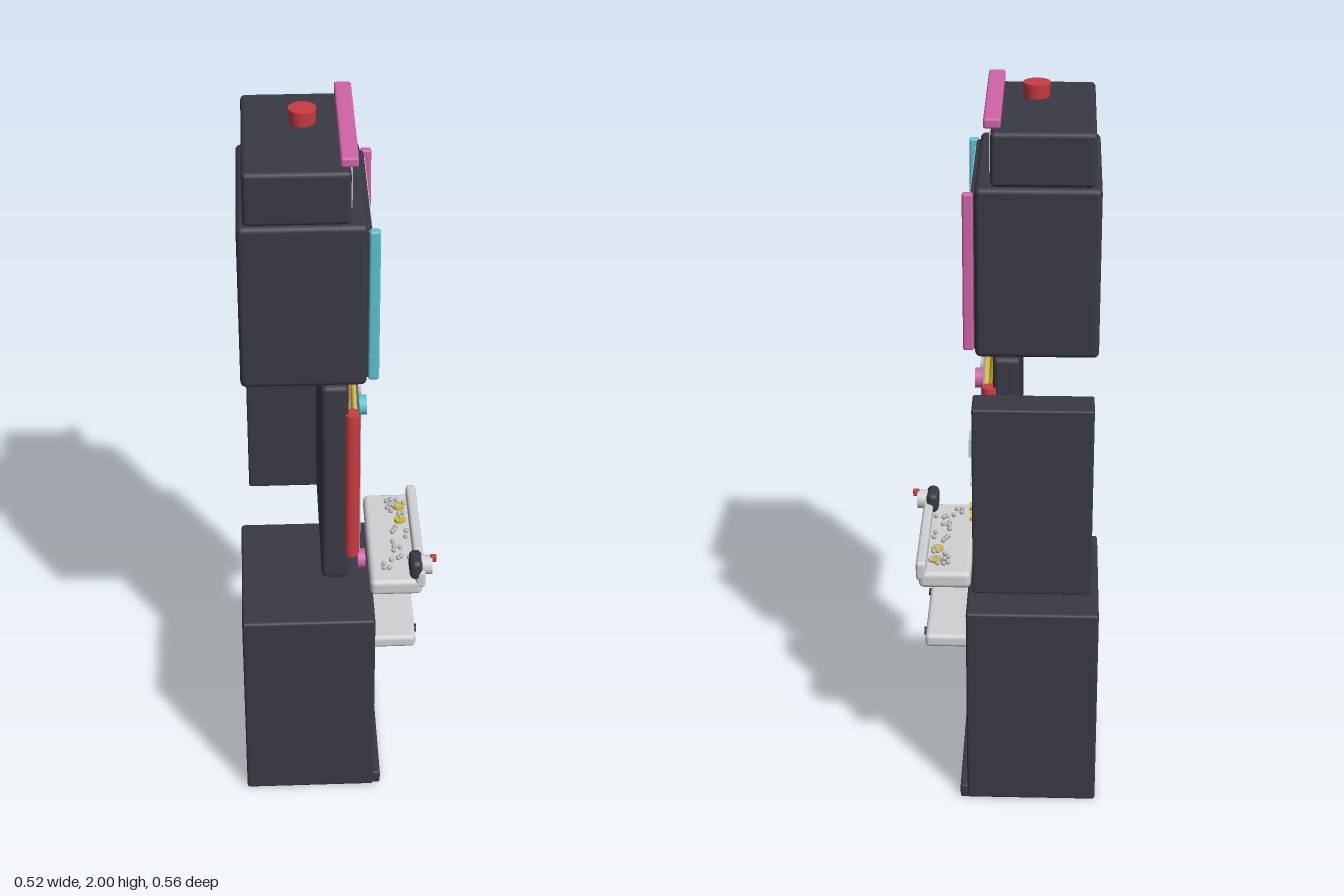
import * as THREE from 'three';
import { RoundedBoxGeometry } from 'three/addons/geometries/RoundedBoxGeometry.js';

const material = (name, color) => Object.assign(new THREE.MeshStandardMaterial({ color }), { name });

export function createModel() {
  const root = new THREE.Group();
  root.name = 'arcadeMachine';

  const dark = material('charcoal', 0x3a3a45);
  const black = material('black', 0x24242a);
  const glass = material('glassGrey', 0xc3c7ca);
  const silver = material('silver', 0xd0d1d3);
  const steel = material('ballSteel', 0xb4b5ba);
  const red = material('red', 0xc93c42);
  const cyan = material('cyan', 0x5cc2cf);
  const pink = material('pink', 0xd064a6);
  const yellow = material('yellow', 0xd2b93c);

  const midZ = 0.043; // centre line of the main cabinet

  function add(name, geometry, mat, x, y, z, parent = root) {
    const mesh = new THREE.Mesh(geometry, mat);
    mesh.name = name;
    mesh.position.set(x, y, z);
    parent.add(mesh);
    return mesh;
  }
  // box given by its limits on each axis; r rounds the edges
  function box(name, mat, [x0, x1], [y0, y1], [z0, z1], r = 0) {
    const s = [x1 - x0, y1 - y0, z1 - z0];
    const g = r ? new RoundedBoxGeometry(...s, 3, r) : new THREE.BoxGeometry(...s);
    return add(name, g, mat, (x0 + x1) / 2, (y0 + y1) / 2, (z0 + z1) / 2);
  }
  // cylinder lying along x
  function knob(name, mat, r, [x0, x1], y, z, parent = root) {
    const g = new THREE.CylinderGeometry(r, r, x1 - x0, 24).rotateZ(-Math.PI / 2);
    return add(name, g, mat, (x0 + x1) / 2, y, z, parent);
  }

  // lower cabinet with kick plate and shelf
  box('baseCabinet', dark, [-0.26, 0.096], [0, 0.602], [-0.178, 0.263], 0.008);
  box('kickPlate', dark, [0.085, 0.115], [0, 0.04], [-0.175, 0.257], 0.006);
  box('shelf', silver, [0.09, 0.21], [0.457, 0.495], [-0.118, 0.205], 0.012);
  for (const z of [0.145, -0.062]) knob('shelfButton', black, 0.011, [0.2, 0.215], 0.476, z);

  // ball tray
  box('trayBody', silver, [0.083, 0.222], [0.667, 0.715], [-0.157, 0.237], 0.014);
  box('trayLip', silver, [0.202, 0.229], [0.69, 0.745], [-0.157, 0.237], 0.009);
  for (const z of [-0.09, -0.03]) {
    add('trayButton', new THREE.CylinderGeometry(0.016, 0.016, 0.012, 24), yellow, 0.178, 0.717, z);
  }

  // loose balls
  const balls = new THREE.Group();
  balls.name = 'balls';
  root.add(balls);
  const ballGeometry = new THREE.SphereGeometry(0.0068, 12, 8);
  [[0.145, -0.11], [0.157, -0.116], [0.173, -0.115], [0.192, -0.1], [0.155, -0.092], [0.163, -0.09],
    [0.173, -0.086], [0.146, -0.08], [0.156, -0.064], [0.176, -0.05], [0.187, -0.053], [0.181, -0.034],
    [0.164, 0.007], [0.158, 0.021], [0.153, 0.03], [0.191, 0.026], [0.188, 0.052], [0.151, 0.072],
    [0.154, 0.095], [0.17, 0.099], [0.152, 0.111], [0.17, 0.138], [0.162, 0.145], [0.192, 0.144],
    [0.143, 0.152], [0.122, 0.168], [0.121, 0.186], [0.136, 0.186],
  ].forEach(([x, z]) => add('ball', ballGeometry, steel, x, 0.723, z, balls));

  // shooting handle
  const handle = new THREE.Group();
  handle.name = 'handle';
  root.add(handle);
  const grip = new RoundedBoxGeometry(0.034, 0.058, 0.07, 4, 0.015);
  add('handleGrip', grip, dark, 0.204, 0.745, 0.203, handle);
  knob('handleDial', silver, 0.026, [0.218, 0.247], 0.745, 0.203, handle);
  box('handleLever', red, [0.242, 0.259], [0.755, 0.775], [0.197, 0.209], 0.003);

  // playfield frame, board, ring and lamps
  box('playfieldFrame', dark, [-0.047, 0.022], [0.752, 1.352], [-0.178, 0.263], 0.014);
  box('playfieldGlass', glass, [0.047, 0.054], [0.79, 1.325], [midZ - 0.197, midZ + 0.197]);
  const ring = new THREE.TorusGeometry(0.203, 0.009, 10, 64).rotateY(Math.PI / 2);
  add('playfieldRing', ring, yellow, 0.044, 1.05, midZ);
  for (const side of [1, -1]) {
    const z = midZ + side * 0.21;
    add('sideLamp', new THREE.CylinderGeometry(0.02, 0.02, 0.44, 20), red, 0.031, 1.05, z);
    knob('upperCornerLamp', side > 0 ? cyan : pink, 0.025, [0.047, 0.066], 1.295, z);
    knob('lowerCornerLamp', side > 0 ? pink : cyan, 0.025, [0.047, 0.066], 0.812, z);
  }

  // side payment unit
  box('sideUnit', dark, [-0.235, 0.072], [0.727, 1.257], [-0.278, -0.185], 0.006);
  box('sideUnitScreen', glass, [0.071, 0.08], [1.115, 1.163], [-0.258, -0.201]);
  box('billSlot', silver, [0.071, 0.078], [1.031, 1.039], [-0.253, -0.206]);
  for (const y of [0.96, 0.93]) knob('sideUnitButton', yellow, 0.011, [0.071, 0.08], y, -0.23);

  // upper display unit
  box('displayCabinet', dark, [-0.244, 0.066], [1.355, 1.8], [-0.181, 0.262], 0.014);
  box('displayBezel', dark, [0.06, 0.076], [1.372, 1.783], [-0.165, 0.251], 0.005);
  box('displayScreen', glass, [0.072, 0.079], [1.386, 1.768], [-0.149, 0.231]);
  for (const side of [1, -1]) {
    const z = midZ + side * 0.208;
    box('displayLightBar', side > 0 ? cyan : pink, [0.069, 0.096], [1.372, 1.785], [z - 0.011, z + 0.011], 0.006);
  }

  // top sign box, light bar and beacon
  box('signBox', dark, [-0.228, 0.027], [1.8, 1.938], [-0.173, 0.256], 0.012);
  box('signScreen', glass, [0.024, 0.031], [1.825, 1.922], [-0.132, 0.215]);
  box('signLightBar', pink, [0.002, 0.044], [1.945, 1.97], [-0.166, 0.246], 0.006);
  add('beacon', new THREE.CylinderGeometry(0.034, 0.032, 0.036, 32), red, -0.081, 1.982, 0.04);

  return root;
}
